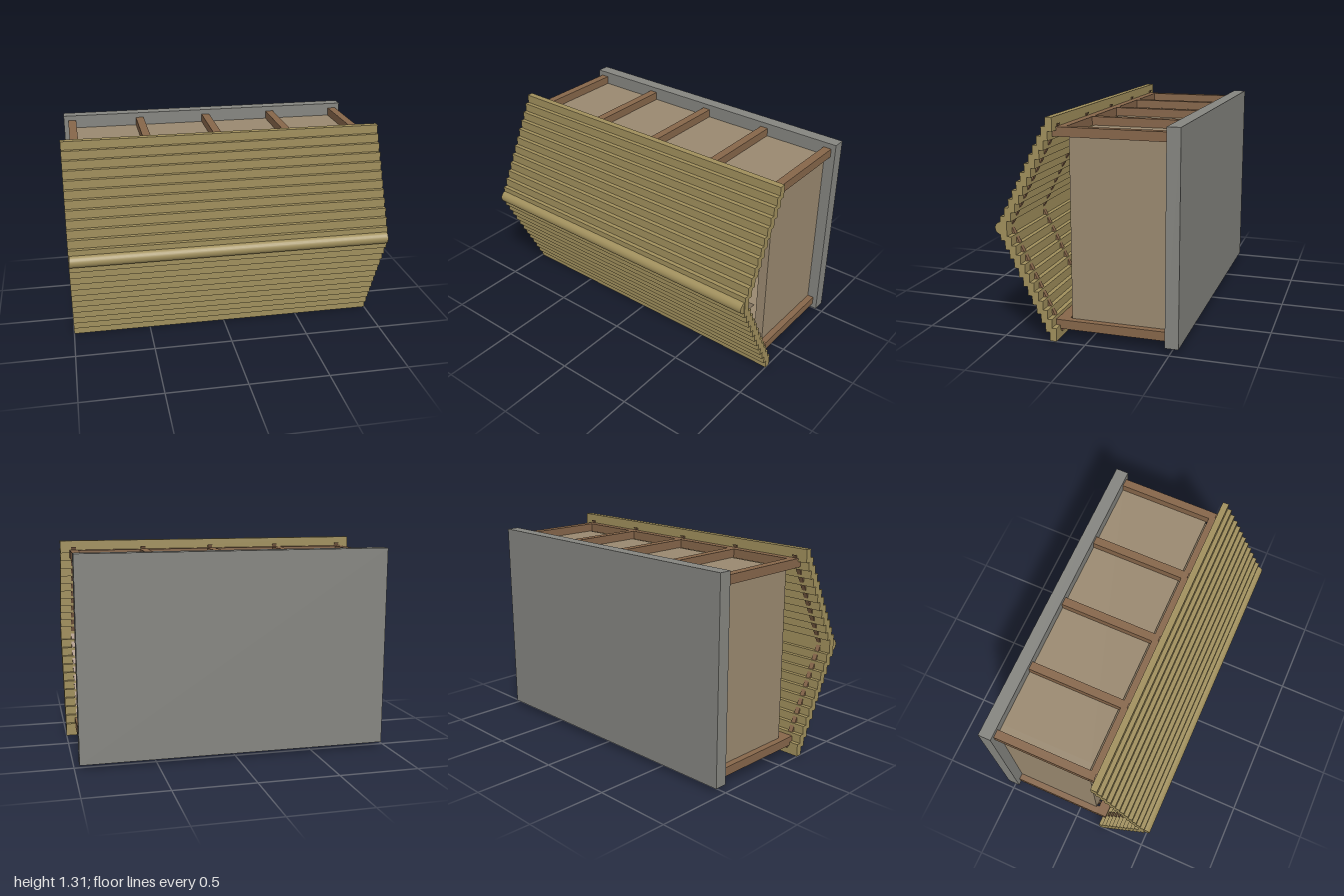
import * as THREE from 'three';

const mat = (color) => new THREE.MeshStandardMaterial({ color, flatShading: true });
const MID = 0.658; // height of the ridge line

export function createModel() {
  const model = new THREE.Group();
  const thatch = mat(0xa08f5c), timber = mat(0x86664a), stone = mat(0x858580);
  const plaster = mat(0x9a8970), glass = mat(0x35424a), darkWood = mat(0x5f452f);

  const add = (name, geometry, material) => {
    const mesh = new THREE.Mesh(geometry, material);
    mesh.name = name;
    model.add(mesh);
    return mesh;
  };
  // Box given by its minimum and maximum on each axis
  const box = (name, material, x0, x1, y0, y1, z0, z1) => {
    const mesh = add(name, new THREE.BoxGeometry(x1 - x0, y1 - y0, z1 - z0), material);
    mesh.position.set((x0 + x1) / 2, (y0 + y1) / 2, (z0 + z1) / 2);
    return mesh;
  };

  // Foundation slab: the house lies with its roof towards +z
  box('foundation', stone, -0.97, 0.97, 0.03, 1.287, -0.547, -0.467);

  // Side and rear walls
  box('rearWall', plaster, -0.89, 0.89, 1.14, 1.203, -0.467, 0.115);
  for (const s of [-1, 1]) {
    const xs = [s * 0.84, s * 0.9].sort((a, b) => a - b);
    box('sideWall', plaster, xs[0], xs[1], 0.113, 1.203, -0.467, 0.115);
  }

  // Facade with notches open to the roof beside the window posts
  const facade = new THREE.Shape();
  facade.moveTo(-0.89, -0.467);
  facade.lineTo(0.89, -0.467);
  facade.lineTo(0.89, 0.115);
  for (const [a, b] of [[0.72, 0.56], [0.53, 0.37], [-0.37, -0.53], [-0.56, -0.72]]) {
    facade.lineTo(a, 0.115);
    facade.lineTo(a, -0.06);
    facade.lineTo(b, -0.06);
    facade.lineTo(b, 0.115);
  }
  facade.lineTo(-0.89, 0.115);
  const facadeMesh = add('facade',
    new THREE.ExtrudeGeometry(facade, { depth: 0.08, bevelEnabled: false }), plaster);
  facadeMesh.rotation.x = Math.PI / 2;
  facadeMesh.position.y = 0.193;

  // Windows
  for (const s of [-1, 1]) {
    const c = s * 0.47;
    box('windowPane', glass, c - 0.1, c + 0.1, 0.105, 0.12, -0.25, -0.08);
    for (const d of [-0.1, 0.1]) {
      box('windowFrame', glass, c + d - 0.015, c + d + 0.015, 0.09, 0.12, -0.265, -0.065);
    }
    for (const h of [-0.255, -0.075]) {
      box('windowFrame', glass, c - 0.1, c + 0.1, 0.09, 0.12, h - 0.01, h + 0.01);
    }
  }

  // Plank door
  for (let i = 0; i < 4; i++) {
    const x = -0.12 + i * 0.06;
    box('doorPlank', darkWood, x + 0.003, x + 0.057, 0.095, 0.12, -0.467, 0.07);
  }

  // Posts and wall plates on both long sides
  const bays = [-0.915, -0.4575, 0, 0.4575, 0.915];
  for (const [y0, y1] of [[0.06, 0.115], [1.2, 1.255]]) {
    for (const x of bays) box('post', timber, x - 0.026, x + 0.026, y0, y1, -0.467, 0.135);
    box('wallPlate', timber, -0.94, 0.94, y0, y1, 0.13, 0.2);
  }

  // Slanted braces on the facade
  for (const s of [-1, 1]) {
    const brace = add('brace', new THREE.BoxGeometry(0.24, 0.04, 0.028), timber);
    brace.position.set(s * 0.78, 0.075, 0.033);
    brace.rotation.y = -s * Math.atan2(0.175, 0.18);
  }

  // Rafters: a bent strip under the planks, drawn in (y, z)
  const rafter = new THREE.Shape([
    [-0.617, 0.165], [0, 0.475], [0.617, 0.165], [0.607, 0.195], [0, 0.505], [-0.607, 0.195],
  ].map(([y, z]) => new THREE.Vector2(y, z)));
  const rafterGeometry = new THREE.ExtrudeGeometry(rafter, { depth: 0.03, bevelEnabled: false });
  rafterGeometry.translate(0, 0, -0.015);
  // Cycle the axes so the shape lies in y and z and the depth along x
  rafterGeometry.applyMatrix4(new THREE.Matrix4().makeBasis(
    new THREE.Vector3(0, 1, 0), new THREE.Vector3(0, 0, 1), new THREE.Vector3(1, 0, 0)));
  for (const x of bays) add('rafter', rafterGeometry, timber).position.set(x, MID, 0);

  // Overlapping roof planks on both slopes
  for (let i = 0; i < 12; i++) {
    const z = 0.197 + i * 0.0267, d = 0.617 - i * 0.0532;
    for (const s of [-1, 1]) {
      box('roofPlank', thatch, -1, 1, MID + s * d - 0.04, MID + s * d + 0.04, z - 0.02, z + 0.02);
    }
  }

  // Half-round ridge cap
  const ridge = add('ridgeCap',
    new THREE.CylinderGeometry(0.038, 0.038, 1.99, 24), thatch);
  ridge.material = new THREE.MeshStandardMaterial({ color: 0xa08f5c });
  ridge.rotation.z = Math.PI / 2;
  ridge.position.set(0, MID, 0.509);

  return model;
}
